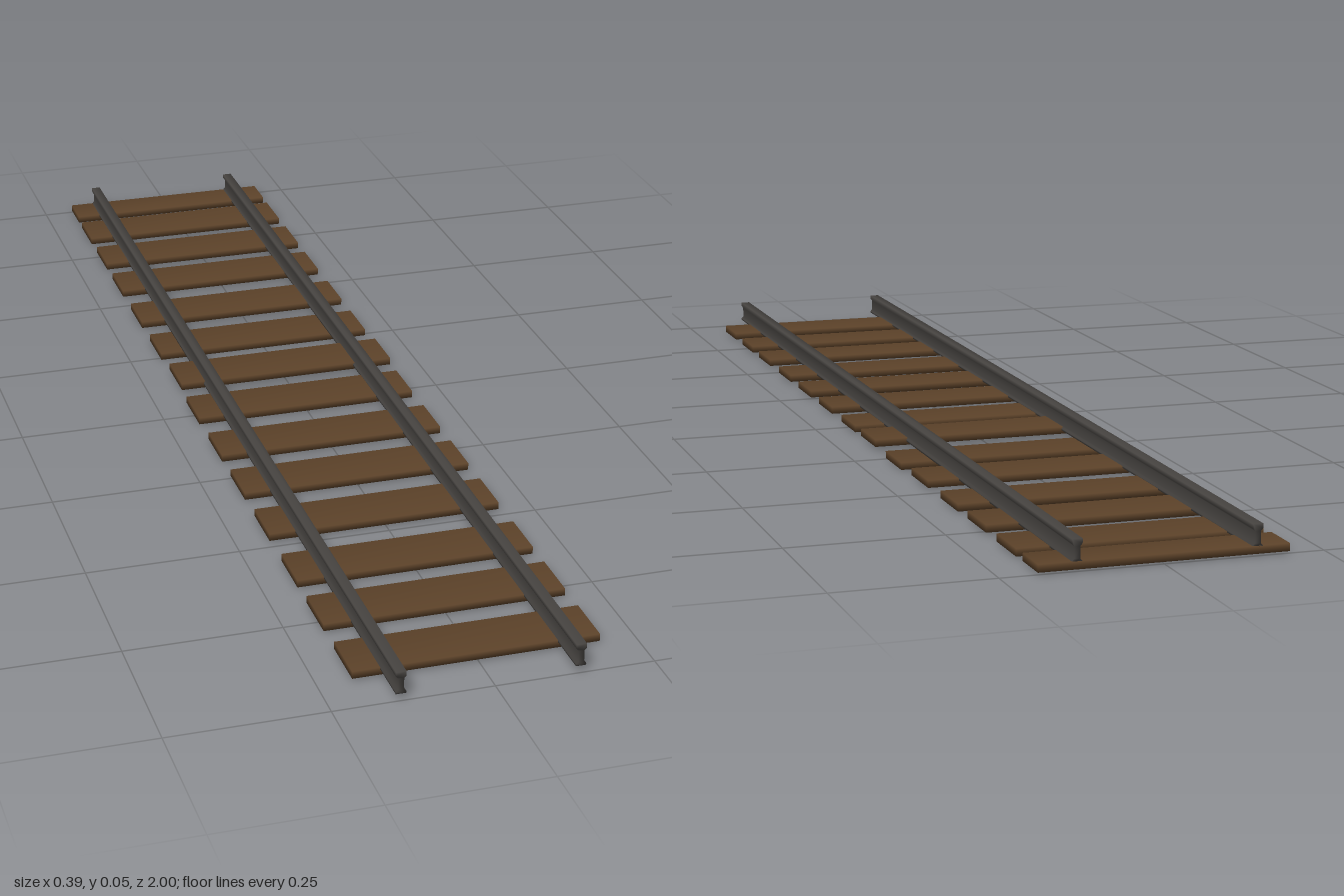
import * as THREE from 'three';
import { mergeVertices } from 'three/addons/utils/BufferGeometryUtils.js';

// Share corners so that the normals blend softly over the edges
function soften(geometry) {
  geometry.deleteAttribute('normal');
  geometry.deleteAttribute('uv');
  const g = mergeVertices(geometry, 1e-5);
  g.computeVertexNormals();
  return g;
}

export function createModel() {
  const model = new THREE.Group();
  model.name = 'railwayTrack';
  const wood = new THREE.MeshStandardMaterial({ color: 0x5c4229 });
  wood.name = 'dark brown wood';
  const steel = new THREE.MeshStandardMaterial({ color: 0x474441 });
  steel.name = 'dark grey steel';

  // Sleepers: back edge, front edge, centre x, bottom y
  const sleepers = [
    [-1, -0.933, -0.002, 0.003], [-0.905, -0.815, -0.002, 0.002],
    [-0.767, -0.677, -0.002, 0.003], [-0.63, -0.54, -0.002, 0.002],
    [-0.475, -0.385, -0.002, 0.003], [-0.333, -0.243, 0, 0],
    [-0.185, -0.095, 0.001, 0.006], [-0.05, 0.04, -0.002, 0.002],
    [0.102, 0.192, -0.002, 0.003], [0.247, 0.337, -0.002, 0.003],
    [0.395, 0.485, -0.002, 0.003], [0.553, 0.643, -0.002, 0.003],
    [0.693, 0.783, -0.002, 0.003], [0.837, 0.927, -0.002, 0.003],
  ];
  const thickness = 0.012;
  for (const [back, front, x, y] of sleepers) {
    const sleeper = new THREE.Mesh(soften(new THREE.BoxGeometry(0.388, thickness, front - back)), wood);
    sleeper.position.set(x, y + thickness / 2, (back + front) / 2);
    sleeper.name = 'sleeper';
    model.add(sleeper);
  }

  // Rails: right half of the I-section, mirrored, swept along z
  const half = [[0.008, 0.012], [0.008, 0.015], [0.0045, 0.019], [0.0045, 0.037], [0.008, 0.041], [0.008, 0.048]];
  const outline = [...half, ...half.map(([x, y]) => [-x, y]).reverse()];
  const section = new THREE.Shape(outline.map(([x, y]) => new THREE.Vector2(x, y)));
  const railGeometry = soften(new THREE.ExtrudeGeometry(section, { depth: 2, bevelEnabled: false }));
  for (const [name, x] of [['rightRail', -0.145], ['leftRail', 0.133]]) {
    const rail = new THREE.Mesh(railGeometry, steel);
    rail.position.set(x, 0, -1);
    rail.name = name;
    model.add(rail);
  }
  return model;
}
